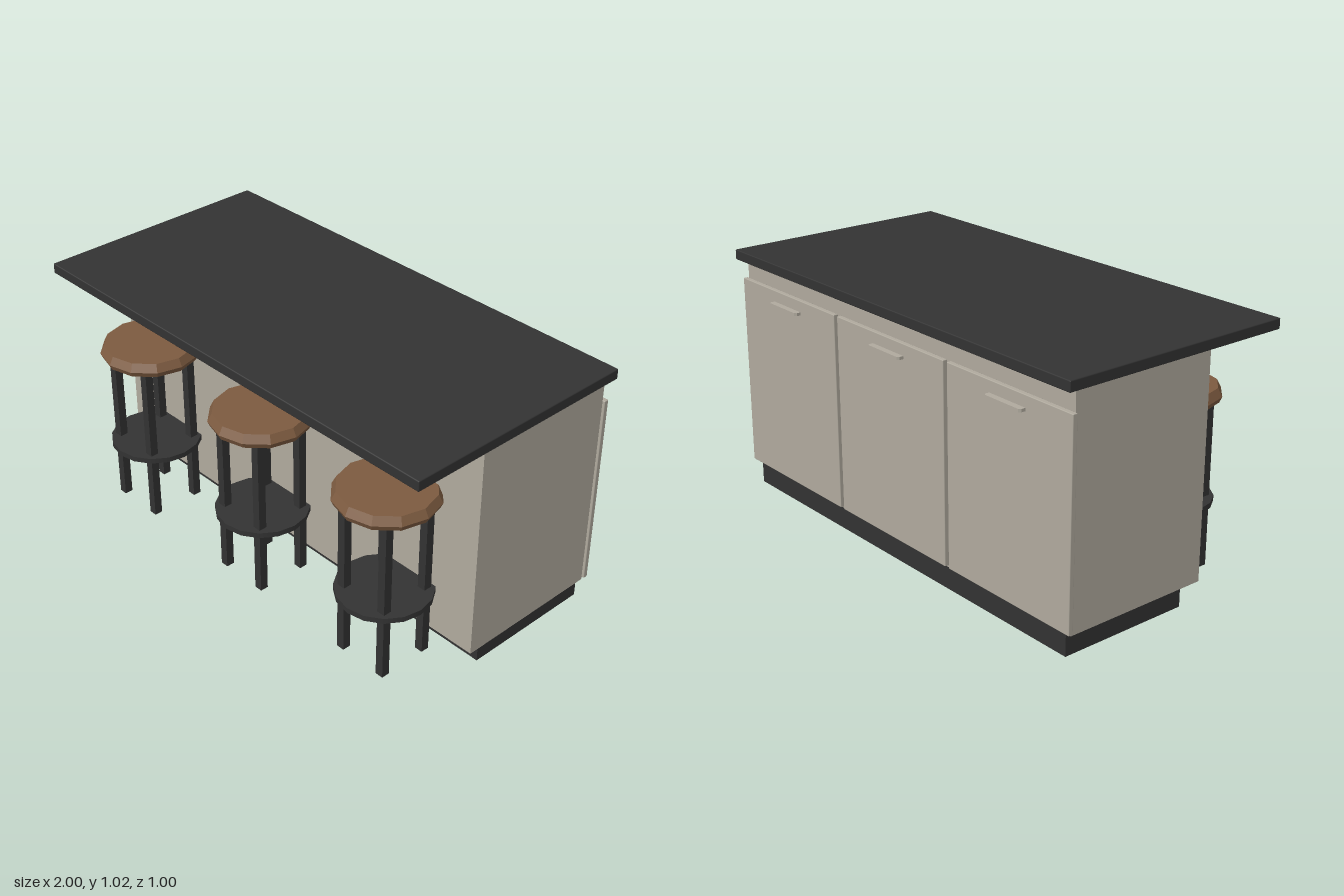
import * as THREE from 'three';
import { RoundedBoxGeometry } from 'three/addons/geometries/RoundedBoxGeometry.js';

export function createModel() {
  const model = new THREE.Group();
  model.name = 'kitchenIsland';

  const material = (name, color) => {
    const m = new THREE.MeshStandardMaterial({ color });
    m.name = name;
    return m;
  };
  const charcoal = material('charcoal', 0x333333);
  const greige = material('greige', 0xb0aa9e);
  const wood = material('wood', 0x7d5b40);
  wood.flatShading = true;

  const add = (parent, name, geometry, mat, x = 0, y = 0, z = 0) => {
    const mesh = new THREE.Mesh(geometry, mat);
    mesh.name = name;
    mesh.position.set(x, y, z);
    parent.add(mesh);
    return mesh;
  };

  // Counter, cabinet body and recessed plinth
  add(model, 'countertop', new RoundedBoxGeometry(2, 0.042, 1, 1, 0.004), charcoal, 0, 1.001, 0);
  add(model, 'cabinet', new THREE.BoxGeometry(1.96, 0.89, 0.623), greige, 0, 0.535, -0.1435);
  add(model, 'plinth', new THREE.BoxGeometry(1.91, 0.09, 0.555), charcoal, 0, 0.045, -0.1775);

  // Handle outline seen from above, with chamfered outer corners
  const outline = new THREE.Shape([
    [-0.093, 0], [0.093, 0], [0.093, 0.017], [0.085, 0.025], [-0.085, 0.025], [-0.093, 0.017],
  ].map(([x, y]) => new THREE.Vector2(x, y)));
  const handleGeometry = new THREE.ExtrudeGeometry(outline, { depth: 0.012, bevelEnabled: false });
  handleGeometry.rotateX(-Math.PI / 2);

  const doorGeometry = new RoundedBoxGeometry(0.647, 0.8, 0.02, 1, 0.003);

  // Stool parts
  const seatGeometry = new THREE.LatheGeometry([
    [0, 0.68], [0.19, 0.68], [0.2, 0.702], [0.183, 0.735], [0, 0.735],
  ].map(([r, y]) => new THREE.Vector2(r, y)), 12);
  const legGeometry = new THREE.BoxGeometry(0.034, 0.69, 0.034);
  const footrestGeometry = new THREE.CylinderGeometry(0.185, 0.185, 0.022, 16);

  for (const x of [-0.667, 0, 0.667]) {
    // Door and handle on the back
    add(model, 'door', doorGeometry, greige, x, 0.5, -0.465);
    add(model, 'handle', handleGeometry, greige, x, 0.842, -0.475);

    // Stool tucked under the overhang
    const stool = new THREE.Group();
    stool.name = 'stool';
    stool.position.set(x, 0, 0.3);
    add(stool, 'seat', seatGeometry, wood);
    add(stool, 'footrest', footrestGeometry, charcoal, 0, 0.28, 0);
    for (const sx of [-1, 1]) {
      for (const sz of [-1, 1]) add(stool, 'leg', legGeometry, charcoal, sx * 0.102, 0.345, sz * 0.102);
    }
    model.add(stool);
  }

  return model;
}
